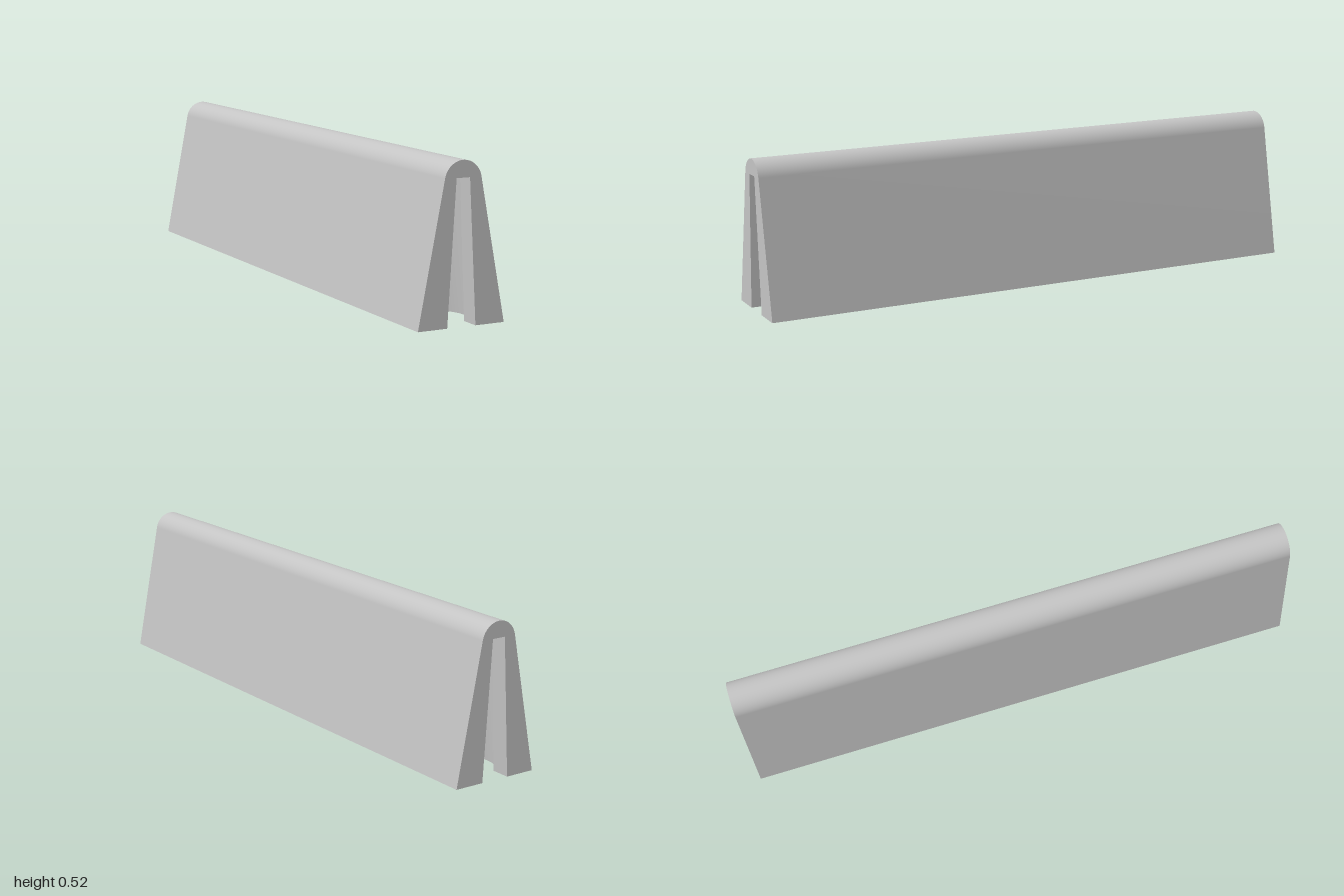
import * as THREE from 'three';

const HALF_LENGTH = 1, HALF_BASE = 0.155, HEIGHT = 0.52, CROWN_R = 0.066;
const CAVITY_TOP = 0.465, SOCKET_Z = 0.85;
const LEAN = 0.192; // lean of the long sides, in radians

// Smooth strip of quads between two matching rows of points
function loft(rowA, rowB) {
  const n = rowA.length, index = [];
  for (let i = 0; i < n - 1; i++) index.push(i, n + i, i + 1, i + 1, n + i, n + i + 1);
  const geometry = new THREE.BufferGeometry().setFromPoints([...rowA, ...rowB]);
  geometry.setIndex(index);
  geometry.computeVertexNormals();
  return geometry;
}

// Plan outline (x, z) of the keyhole cavity: slot half width s, socket radii rx, rz
function keyhole(s, rx, rz, segments = 40) {
  const start = Math.acos(s / rx);
  const points = [new THREE.Vector2(s, HALF_LENGTH)];
  for (let i = 0; i <= segments; i++) {
    // run from the right slot edge, around the far side, to the left slot edge
    const a = start - (i / segments) * (Math.PI + 2 * start);
    points.push(new THREE.Vector2(rx * Math.cos(a), SOCKET_Z + rz * Math.sin(a)));
  }
  points.push(new THREE.Vector2(-s, HALF_LENGTH));
  return points;
}

export function createModel() {
  const model = new THREE.Group();
  const grey = new THREE.MeshStandardMaterial({ color: 0xc4c4c4 });
  grey.name = 'light grey';
  const add = (parent, name, geometry) => {
    const mesh = new THREE.Mesh(geometry, grey);
    mesh.name = name;
    parent.add(mesh);
    return mesh;
  };

  // Tapered outline with a rounded crown
  const profile = [new THREE.Vector2(HALF_BASE, 0)];
  for (let i = 0; i <= 32; i++) {
    const a = LEAN + (i / 32) * (Math.PI - 2 * LEAN);
    profile.push(new THREE.Vector2(CROWN_R * Math.cos(a), HEIGHT - CROWN_R + CROWN_R * Math.sin(a)));
  }
  profile.push(new THREE.Vector2(-HALF_BASE, 0));
  const row = (z) => profile.map((p) => new THREE.Vector3(p.x, p.y, z));
  add(model, 'sidesAndCrown', loft(row(HALF_LENGTH), row(-HALF_LENGTH)));

  // Cavity outlines at the base and at the ceiling
  const low = keyhole(0.051, 0.098, 0.098);
  const high = keyhole(0.024, 0.042, 0.112);

  // Underside with a keyhole cut into each end
  const base = new THREE.Shape([
    new THREE.Vector2(HALF_BASE, -HALF_LENGTH),
    new THREE.Vector2(HALF_BASE, HALF_LENGTH),
    ...low,
    new THREE.Vector2(-HALF_BASE, HALF_LENGTH),
    new THREE.Vector2(-HALF_BASE, -HALF_LENGTH),
    ...low.map((p) => new THREE.Vector2(-p.x, -p.y)),
  ]);
  add(model, 'underside', new THREE.ShapeGeometry(base).rotateX(Math.PI / 2));

  // Both ends: notched face, slot walls, tapered socket and ceiling
  const endShape = new THREE.Shape([
    ...profile,
    new THREE.Vector2(-0.051, 0), new THREE.Vector2(-0.024, CAVITY_TOP),
    new THREE.Vector2(0.024, CAVITY_TOP), new THREE.Vector2(0.051, 0),
  ]);
  const n = low.length;
  const wall = (from, to) => loft(
    low.slice(from, to).map((p) => new THREE.Vector3(p.x, 0, p.y)),
    high.slice(from, to).map((p) => new THREE.Vector3(p.x, CAVITY_TOP, p.y)),
  );
  for (const name of ['frontEnd', 'backEnd']) {
    const end = new THREE.Group();
    end.name = name;
    add(end, 'endFace', new THREE.ShapeGeometry(endShape)).position.z = HALF_LENGTH;
    add(end, 'leftSlotWall', wall(0, 2));
    add(end, 'socketWall', wall(1, n - 1));
    add(end, 'rightSlotWall', wall(n - 2, n));
    add(end, 'cavityCeiling', new THREE.ShapeGeometry(new THREE.Shape(high)).rotateX(Math.PI / 2))
      .position.y = CAVITY_TOP;
    if (name === 'backEnd') end.rotation.y = Math.PI;
    model.add(end);
  }
  return model;
}
